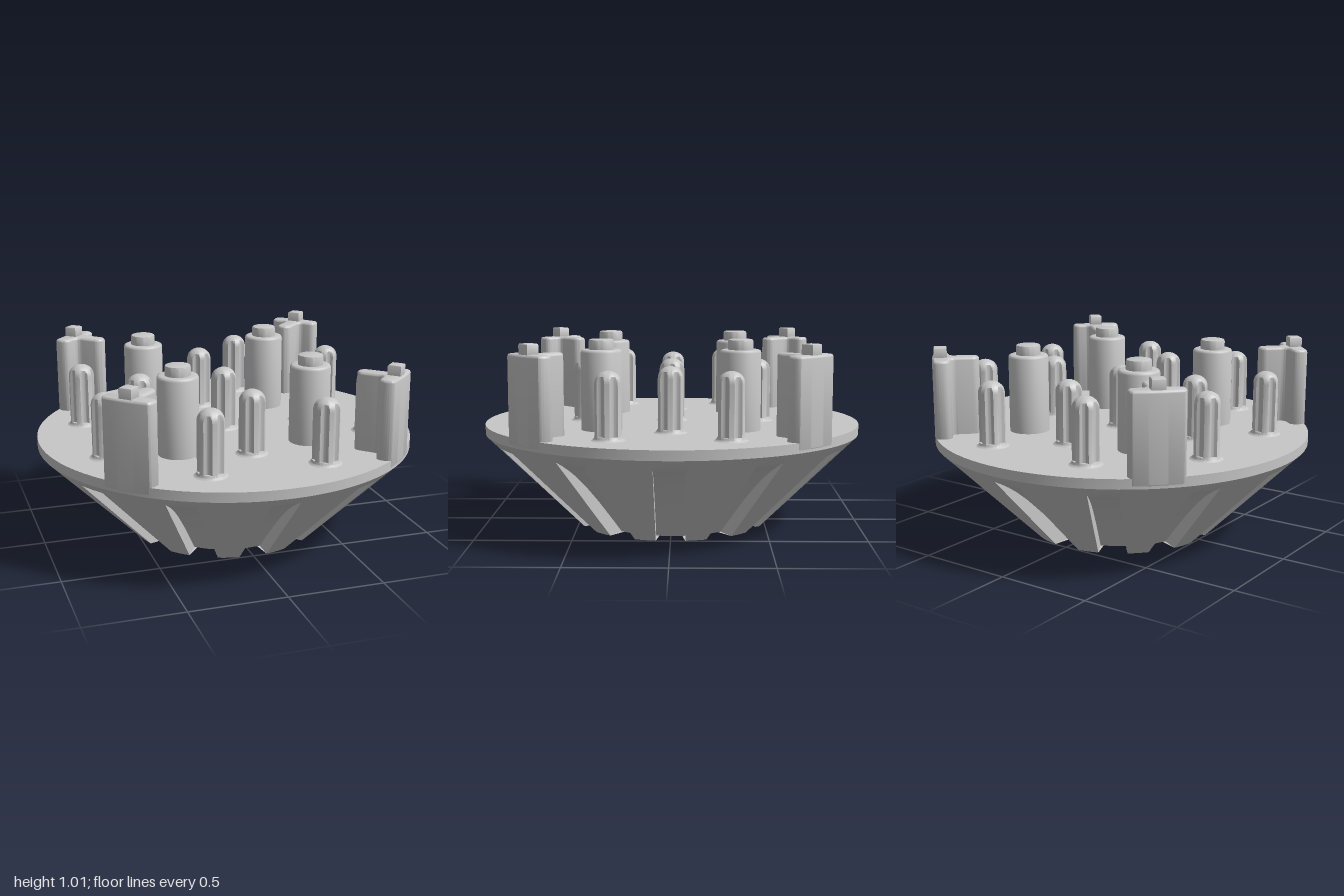
import * as THREE from 'three';
import { toCreasedNormals } from 'three/addons/utils/BufferGeometryUtils.js';

const grey = new THREE.MeshStandardMaterial({ color: 0xc7c7c7 });
grey.name = 'light grey';

const DECK = 0.55;

// Closed solid from rings of [radius, angle], listed bottom to top.
function loft(rings) {
  const n = rings[0].points.length, pos = [], index = [];
  for (const { y, points } of rings)
    for (const [r, a] of points) pos.push(r * Math.cos(a), y, -r * Math.sin(a));
  const last = rings.length - 1, low = rings.length * n, high = low + 1;
  pos.push(0, rings[0].y, 0, 0, rings[last].y, 0);
  for (let j = 0; j < n; j++) {
    const k = (j + 1) % n;
    for (let i = 0; i < last; i++) {
      const a = i * n + j, b = i * n + k;
      index.push(a, b, b + n, a, b + n, a + n);
    }
    index.push(low, k, j, high, last * n + j, last * n + k);
  }
  const g = new THREE.BufferGeometry();
  g.setAttribute('position', new THREE.Float32BufferAttribute(pos, 3));
  g.setIndex(index);
  return toCreasedNormals(g, 0.5);
}

// Conical underside with twelve slots that run out below the rim, topped by a flat disc.
function baseGeometry() {
  const half = 0.075;
  const ring = ([y, depth]) => {
    const R = Math.min(1, 0.5 + y), floor = R - depth;
    const edge = Math.asin(half / R), corner = Math.asin(half / floor);
    const points = [];
    for (let s = 0; s < 12; s++) {
      const mid = s * Math.PI / 6;
      points.push([R, mid - edge], [floor, mid - corner], [floor, mid], [floor, mid + corner]);
      for (let k = 0; k < 6; k++)
        points.push([R, mid + edge + (Math.PI / 6 - 2 * edge) * k / 6]);
    }
    return { y, points };
  };
  const levels = [[0, 0.105], [0.1, 0.103], [0.2, 0.098], [0.3, 0.084], [0.36, 0.066],
    [0.4, 0.046], [0.43, 0.024], [0.455, 0], [0.5, 0], [DECK, 0]];
  return loft(levels.map(ring));
}

// Domed peg with six vertical flutes and a flared foot.
function pegGeometry() {
  const R = 0.067, segs = 96, c = 0.073, rho = 0.021;
  const ring = (y, r, fluted) => {
    const points = [];
    for (let j = 0; j < segs; j++) {
      const a = j / segs * Math.PI * 2;
      const d = a - Math.round(a / (Math.PI / 3)) * Math.PI / 3;
      const t = rho * rho - (c * Math.sin(d)) ** 2;
      const cut = fluted && t > 0 ? c * Math.cos(d) - Math.sqrt(t) : 1;
      points.push([Math.min(r, cut), a]);
    }
    return { y, points };
  };
  const rings = [ring(DECK - 0.01, 0.084), ring(DECK, 0.084), ring(DECK + 0.004, 0.076),
    ring(DECK + 0.01, 0.07), ring(DECK + 0.02, R), ring(DECK + 0.02, R, true)];
  for (let i = 0; i <= 7; i++) {
    const t = i / 7 * 1.45;
    rings.push(ring(0.825 + 0.06 * Math.sin(t), R * Math.cos(t), true));
  }
  return loft(rings);
}

// Round post with a smaller stepped nub.
function postGeometry() {
  const profile = [[0.105, DECK - 0.01], [0.105, 0.946], [0.101, 0.956], [0.092, 0.96],
    [0.065, 0.96], [0.065, 1.001], [0.062, 1.009], [0.054, 1.012], [0, 1.012]];
  const g = new THREE.LatheGeometry(profile.map(([x, y]) => new THREE.Vector2(x, y)), 48);
  return toCreasedNormals(g, 0.8);
}

// Upright extrusion with softly rounded upper edges.
function upright(shape, bottom, top, bevel) {
  const g = new THREE.ExtrudeGeometry(shape, {
    depth: top - bottom - bevel * 2, bevelSize: bevel, bevelThickness: bevel,
    bevelOffset: -bevel, bevelSegments: 4, curveSegments: 12,
  });
  g.rotateX(-Math.PI / 2).translate(0, bottom + bevel, 0);
  return toCreasedNormals(g, 0.6);
}

// T-shaped plan: stem points inward, the bar follows the disc rim.
function bracketShape() {
  const R = 1.001, a = 0.122, stem = 0.041, s = new THREE.Shape();
  s.moveTo(0.798, -stem);
  s.lineTo(0.875, -stem);
  s.quadraticCurveTo(0.91, -stem, 0.91, -0.072);
  s.lineTo(0.91, -0.1);
  s.quadraticCurveTo(0.912, -0.138, 0.952, -0.138);
  s.quadraticCurveTo(0.98, -0.138, R * Math.cos(a), -R * Math.sin(a));
  s.absarc(0, 0, R, -a, a, false);
  s.quadraticCurveTo(0.98, 0.138, 0.952, 0.138);
  s.quadraticCurveTo(0.912, 0.138, 0.91, 0.1);
  s.lineTo(0.91, 0.072);
  s.quadraticCurveTo(0.91, stem, 0.875, stem);
  s.lineTo(0.798, stem);
  s.absarc(0.798, 0, stem, Math.PI / 2, Math.PI * 1.5, false);
  return s;
}

function squareShape(cx, h) {
  return new THREE.Shape([[-h, -h], [h, -h], [h, h], [-h, h]]
    .map(([x, y]) => new THREE.Vector2(cx + x, y)));
}

export function createModel() {
  const model = new THREE.Group();
  model.name = 'peggedBase';
  const add = (parent, name, geometry, x = 0, z = 0) => {
    const mesh = new THREE.Mesh(geometry, grey);
    mesh.name = name;
    mesh.position.set(x, 0, z);
    parent.add(mesh);
  };

  const peg = pegGeometry(), post = postGeometry();
  const bracket = upright(bracketShape(), 0.505, 0.96, 0.015);
  const nub = upright(squareShape(0.957, 0.034), 0.93, 1.012, 0.008);

  add(model, 'slottedBase', baseGeometry());
  add(model, 'centrePeg', peg);

  // The same set of parts repeats in each quarter.
  for (let q = 0; q < 4; q++) {
    const quarter = new THREE.Group();
    quarter.name = 'quarter' + (q + 1);
    quarter.rotation.y = q * Math.PI / 2;
    add(quarter, 'innerPeg', peg, 0, 0.462);
    add(quarter, 'outerPegLeft', peg, 0.295, 0.713);
    add(quarter, 'outerPegRight', peg, -0.295, 0.713);
    add(quarter, 'post', post, 0.353, 0.353);
    const corner = new THREE.Group();
    corner.name = 'rimBracket';
    corner.rotation.y = Math.PI / 4;
    add(corner, 'bracketBody', bracket);
    add(corner, 'bracketNub', nub);
    quarter.add(corner);
    model.add(quarter);
  }
  return model;
}
